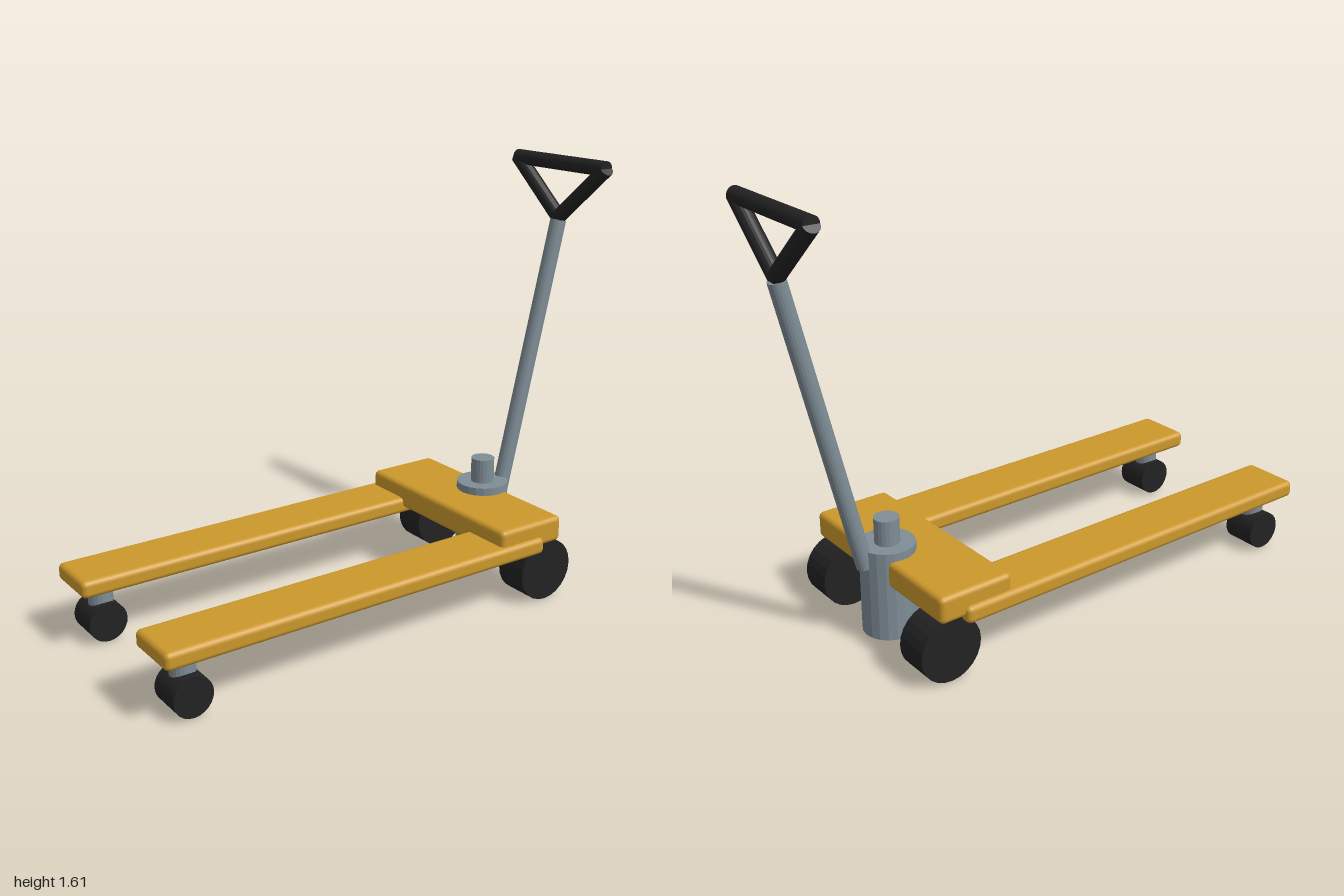
import * as THREE from 'three';
import { RoundedBoxGeometry } from 'three/addons/geometries/RoundedBoxGeometry.js';

export function createModel() {
  const model = new THREE.Group();
  model.name = 'palletTruck';

  const paint = new THREE.MeshStandardMaterial({ color: 0xcc982c });
  paint.name = 'yellowPaint';
  const steel = new THREE.MeshStandardMaterial({ color: 0x7f8d96, flatShading: true });
  steel.name = 'greySteel';
  const rubber = new THREE.MeshStandardMaterial({ color: 0x222222, flatShading: true });
  rubber.name = 'blackRubber';

  function add(name, geometry, material, x, y, z) {
    const mesh = new THREE.Mesh(geometry, material);
    mesh.name = name;
    mesh.position.set(x, y, z);
    model.add(mesh);
    return mesh;
  }

  // Round bar between two points
  function bar(name, from, to, radius, material, sides = 20) {
    const a = new THREE.Vector3(...from);
    const b = new THREE.Vector3(...to);
    const dir = b.clone().sub(a);
    const mid = a.clone().add(b).multiplyScalar(0.5);
    const mesh = add(name, new THREE.CylinderGeometry(radius, radius, dir.length(), sides), material, mid.x, mid.y, mid.z);
    mesh.quaternion.setFromUnitVectors(new THREE.Vector3(0, 1, 0), dir.normalize());
    return mesh;
  }

  // Chassis bridging the forks
  add('chassis', new RoundedBoxGeometry(0.8, 0.1, 0.29, 3, 0.02), paint, 0, 0.285, -0.525);

  // Hydraulic pump
  bar('pumpBody', [0, 0.03, -0.62], [0, 0.365, -0.62], 0.1, steel);
  bar('pumpPiston', [0, 0.36, -0.62], [0, 0.46, -0.62], 0.045, steel);

  // Forks, casters and wheels on both sides
  for (const [side, s] of [['left', 1], ['right', -1]]) {
    add(side + 'Fork', new RoundedBoxGeometry(0.22, 0.065, 1.57, 3, 0.02), paint, s * 0.308, 0.243, 0.21);
    bar(side + 'CasterNeck', [s * 0.308, 0.19, 0.885], [s * 0.308, 0.22, 0.885], 0.025, steel);
    bar(side + 'CasterStem', [s * 0.308, 0.13, 0.885], [s * 0.308, 0.2, 0.885], 0.045, steel);
    bar(side + 'FrontWheel', [s * 0.25, 0.077, 0.885], [s * 0.38, 0.077, 0.885], 0.073, rubber, 24);
    bar(side + 'RearWheel', [s * 0.25, 0.12, -0.62], [s * 0.38, 0.12, -0.62], 0.119, rubber, 24);
  }

  // Steering shaft and triangular grip
  bar('shaft', [0, 0.3, -0.712], [0, 1.365, -0.967], 0.031, steel);
  bar('gripBar', [-0.24, 1.585, -0.967], [0.24, 1.585, -0.967], 0.029, rubber);
  for (const s of [1, -1]) {
    bar(s > 0 ? 'leftGripArm' : 'rightGripArm', [0, 1.377, -0.967], [s * 0.24, 1.585, -0.967], 0.029, rubber);
  }

  return model;
}
